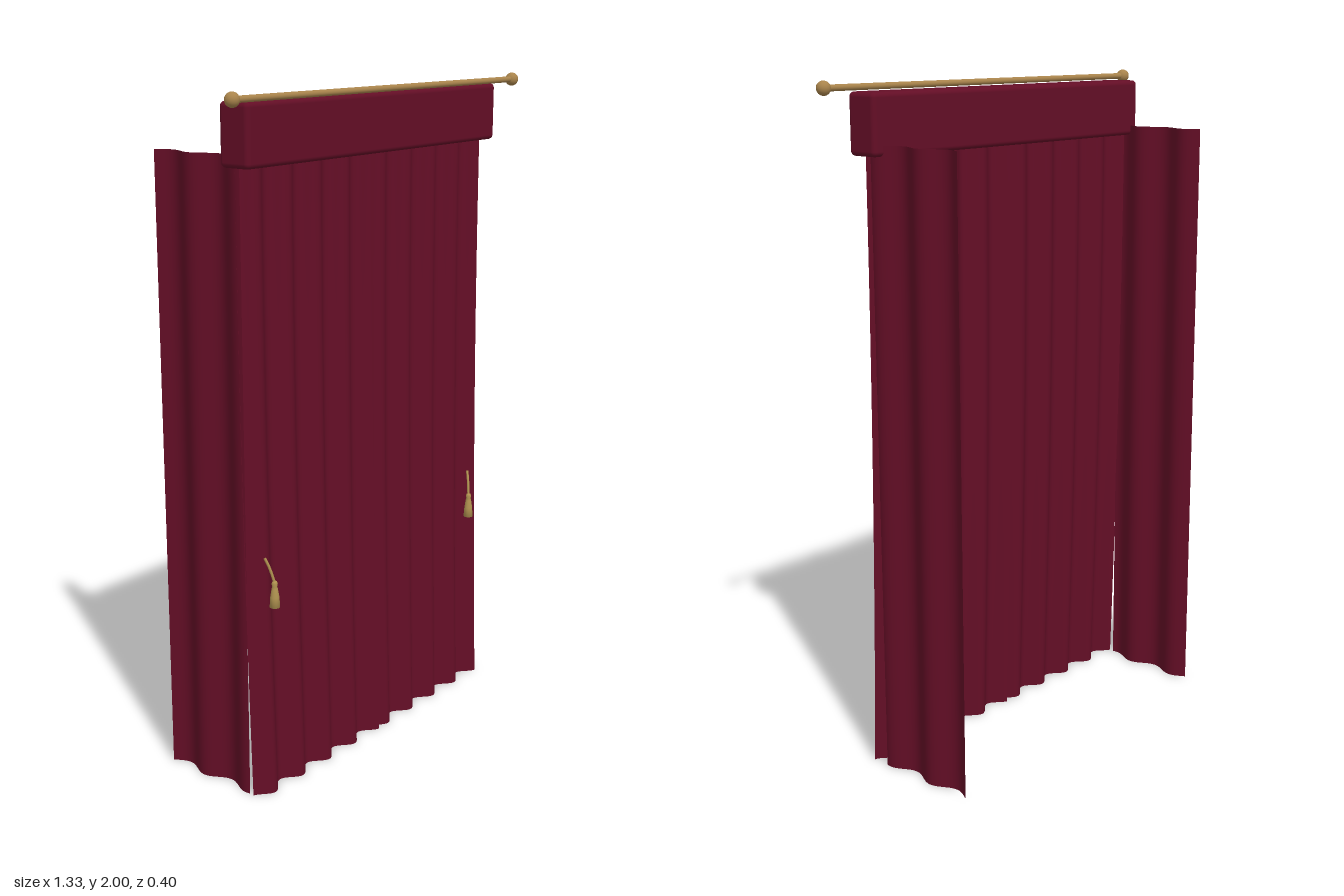
import * as THREE from 'three';
import { RoundedBoxGeometry } from 'three/addons/geometries/RoundedBoxGeometry.js';

const TOP = 1.83;

// Open cloth sheet: place(u, t) gives the point at width u and height t (both 0..1)
function cloth(cols, rows, place) {
  const geo = new THREE.PlaneGeometry(1, 1, cols, rows);
  const pos = geo.attributes.position;
  for (let i = 0; i < pos.count; i++) {
    const p = place(pos.getX(i) + 0.5, pos.getY(i) + 0.5);
    pos.setXYZ(i, p[0], p[1], p[2]);
  }
  geo.computeVertexNormals();
  return geo;
}

export function createModel() {
  const group = new THREE.Group();
  group.name = 'curtain';

  const velvet = new THREE.MeshStandardMaterial({ color: 0x640e26, side: THREE.DoubleSide });
  velvet.name = 'burgundy velvet';
  const brass = new THREE.MeshStandardMaterial({ color: 0xa9844c });
  brass.name = 'brass';
  const gold = new THREE.MeshStandardMaterial({ color: 0xb09250 });
  gold.name = 'gold thread';

  const add = (name, geo, mat, x = 0, y = 0, z = 0, parent = group) => {
    const mesh = new THREE.Mesh(geo, mat);
    mesh.name = name;
    mesh.position.set(x, y, z);
    parent.add(mesh);
    return mesh;
  };

  // Front drapes: two pleated sheets that meet at the middle and flare to the floor
  const frontDrape = (name, x0, x1) => add(name, cloth(90, 16, (u, t) => {
    const x = x0 + (x1 - x0) * u;
    const flare = (1 - t) ** 2;
    const wave = Math.sin(((x - x0 - 0.025) / 0.125) * Math.PI * 2);
    return [x, t * TOP, 0.116 + 0.032 * flare + (0.015 + 0.004 * flare) * wave];
  }), velvet);
  frontDrape('rightFrontDrape', -0.55, 0.004);
  frontDrape('leftFrontDrape', -0.004, 0.55);

  // Side drapes running back from the front corners
  for (const side of [-1, 1]) {
    add(side > 0 ? 'leftSideDrape' : 'rightSideDrape', cloth(48, 4, (u, t) => {
      const z = -0.2 + 0.315 * u;
      const wave = Math.cos(((z - 0.1) / 0.165) * Math.PI * 2);
      return [side * (0.535 + 0.015 * wave), t * TOP, z];
    }), velvet);
  }

  // Valance box
  add('valance', new RoundedBoxGeometry(1.15, 0.17, 0.1, 4, 0.014), velvet, 0, 1.885, 0.12);

  // Rod with ball finials
  const rod = add('rod', new THREE.CylinderGeometry(0.009, 0.009, 1.29, 20), brass, 0, 1.98, 0.184);
  rod.rotation.z = Math.PI / 2;
  for (const side of [-1, 1]) {
    add('finial', new THREE.SphereGeometry(0.02, 24, 16), brass, side * 0.645, 1.98, 0.184);
  }

  // Tassels hanging on short cords
  const profile = [[0, 0], [0.015, 0], [0.013, 0.03], [0.009, 0.055], [0.007, 0.062], [0.009, 0.07], [0.006, 0.077], [0, 0.079]]
    .map(([r, y]) => new THREE.Vector2(r, y));
  for (const side of [-1, 1]) {
    const tassel = new THREE.Group();
    tassel.name = side > 0 ? 'leftTassel' : 'rightTassel';
    group.add(tassel);
    add('skirt', new THREE.LatheGeometry(profile, 16), gold, side * 0.487, 0.577, 0.166, tassel);
    const path = new THREE.CatmullRomCurve3([
      new THREE.Vector3(side * 0.506, 0.725, 0.146),
      new THREE.Vector3(side * 0.497, 0.695, 0.156),
      new THREE.Vector3(side * 0.487, 0.65, 0.166),
    ]);
    add('cord', new THREE.TubeGeometry(path, 12, 0.004, 8), gold, 0, 0, 0, tassel);
  }

  return group;
}
